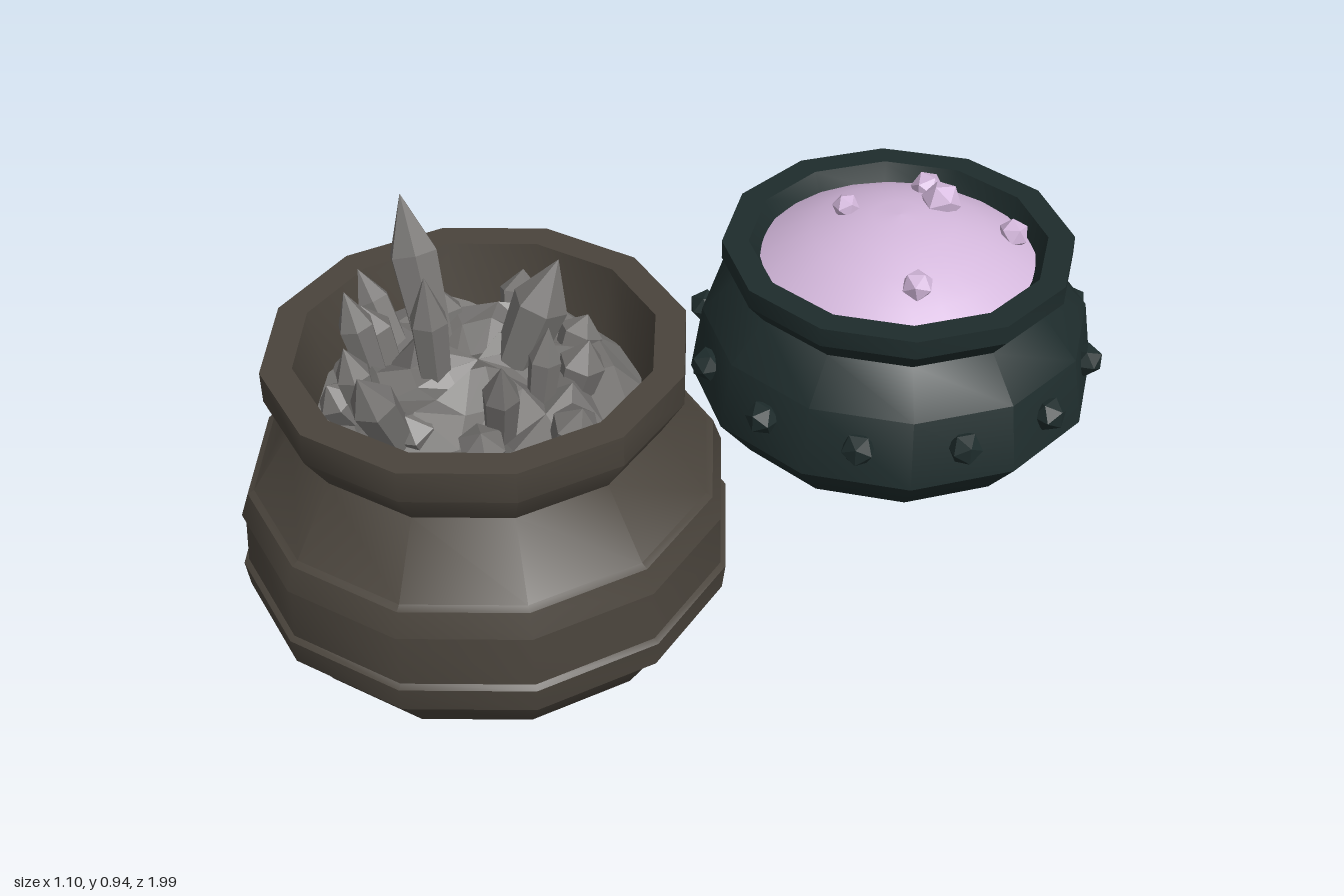
import * as THREE from 'three';
import { toCreasedNormals } from 'three/addons/utils/BufferGeometryUtils.js';

export function createModel() {
  const model = new THREE.Group();
  const mat = (name, color, opts = {}) => {
    const m = new THREE.MeshStandardMaterial({ color, ...opts });
    m.name = name;
    return m;
  };
  const brown = mat('brown iron', 0x4a443c, { side: THREE.DoubleSide });
  const green = mat('dark green iron', 0x1e2c2c, { side: THREE.DoubleSide });
  const pink = mat('pink potion', 0xd4b8dc);
  const grey = mat('grey crystal', 0x757371, { flatShading: true, side: THREE.DoubleSide });

  const add = (parent, name, geo, material) => {
    const m = new THREE.Mesh(geo, material);
    m.name = name;
    parent.add(m);
    return m;
  };
  const lathe = (pts, n) => new THREE.LatheGeometry(pts.map(p => new THREE.Vector2(...p)), n);
  const pot = (pts) => toCreasedNormals(lathe(pts, 12), 0.6);

  // Tall banded cauldron, open underneath
  const tall = new THREE.Group();
  tall.name = 'tallCauldron';
  tall.position.set(-0.07, 0, 0.51);
  model.add(tall);
  add(tall, 'bandedPot', pot([
    [0.225, 0], [0.405, 0.14], [0.465, 0.235], [0.48, 0.24], [0.487, 0.295],
    [0.477, 0.303], [0.47, 0.41], [0.477, 0.415], [0.46, 0.465], [0.447, 0.472],
    [0.36, 0.605], [0.405, 0.677], [0.405, 0.742], [0.345, 0.742], [0.315, 0.6],
  ]), brown);

  // Rough crystal bed: rings of facets raised by a position hash
  const bed = new THREE.RingGeometry(0.001, 0.32, 14, 5).rotateX(-Math.PI / 2);
  const p = bed.attributes.position;
  const hash = (x, z) => {
    const s = Math.sin(Math.round(x * 500) * 12.99 + Math.round(z * 500) * 78.23) * 43758.5;
    return s - Math.floor(s);
  };
  for (let i = 0; i < p.count; i++) {
    const x = p.getX(i), z = p.getZ(i), r = Math.hypot(x, z);
    const bump = r < 0.01 ? 0.5 : hash(x, z);
    p.setY(i, 0.7 - 0.9 * r * r + (bump - 0.5) * 0.07);
  }
  add(tall, 'crystalBed', bed, grey);

  // Six-sided pointed crystals, from base to tip
  const up = new THREE.Vector3(0, 1, 0);
  const crystal = (bx, bz, tx, ty, tz, r, by = 0.6) => {
    const dir = new THREE.Vector3(tx - bx, ty - by, tz - bz);
    const h = dir.length();
    const c = add(tall, 'crystal', lathe([[r * 0.75, 0], [r, h * 0.68], [0, h]], 6), grey);
    c.position.set(bx, by, bz);
    c.quaternion.setFromUnitVectors(up, dir.normalize());
  };
  [
    [-0.12, 0, -0.26, 0.935, -0.04, 0.05],
    [-0.04, 0.07, -0.04, 0.905, 0.08, 0.038],
    [0.0, -0.06, 0.07, 0.89, -0.15, 0.055],
    [0.14, 0.07, 0.21, 0.848, 0.11, 0.036],
    [0.13, -0.03, 0.14, 0.815, -0.06, 0.032],
    [-0.16, 0.12, -0.2, 0.828, 0.15, 0.036],
    [-0.2, 0.03, -0.31, 0.775, 0.04, 0.035],
    [0.02, 0.2, 0.04, 0.832, 0.3, 0.045],
    [-0.08, 0.2, -0.1, 0.79, 0.23, 0.035],
  ].forEach(a => crystal(...a));
  // Short shards around the bed
  for (let i = 0; i < 9; i++) {
    const a = i * 0.7 + 0.2, r = 0.17 + 0.03 * (i % 3);
    const x = Math.sin(a) * r, z = Math.cos(a) * r;
    crystal(x, z, x * 1.25, 0.7 + 0.018 * (i % 4), z * 1.25, 0.045);
  }

  // Low studded cauldron
  const low = new THREE.Group();
  low.name = 'studdedCauldron';
  low.position.set(0.08, 0, -0.534);
  low.rotation.y = 0.03;
  model.add(low);
  add(low, 'studdedPot', pot([
    [0, 0.04], [0.19, 0.04], [0.373, 0.135], [0.45, 0.232], [0.425, 0.388],
    [0.345, 0.475], [0.383, 0.522], [0.383, 0.565], [0.325, 0.565], [0.295, 0.5],
  ]), green).rotation.y = Math.PI / 12;
  for (let i = 0; i < 12; i++) {
    const a = i * Math.PI / 6;
    const s = add(low, 'stud', new THREE.IcosahedronGeometry(0.038, 0), green);
    s.position.set(Math.sin(a) * 0.43, 0.317, Math.cos(a) * 0.43);
    s.rotation.y = a;
  }

  // Domed potion with bubbles
  const dome = (r) => 0.628 - 1.15 * r * r;
  const rings = [0.3, 0.25, 0.19, 0.12, 0.06, 0];
  add(low, 'potion', lathe(rings.map(r => [r, dome(r)]), 24), pink);
  [
    [-0.05, -0.156, 0.037], [0.022, -0.114, 0.045], [0.165, -0.19, 0.035],
    [-0.115, 0.045, 0.03], [0.16, 0.135, 0.035],
  ].forEach(([x, z, r], i) => {
    const b = add(low, 'bubble', new THREE.IcosahedronGeometry(r, 0), pink);
    b.position.set(x, dome(Math.hypot(x, z)) + 0.008, z);
    b.rotation.set(i, i * 1.7, 0);
  });

  return model;
}
